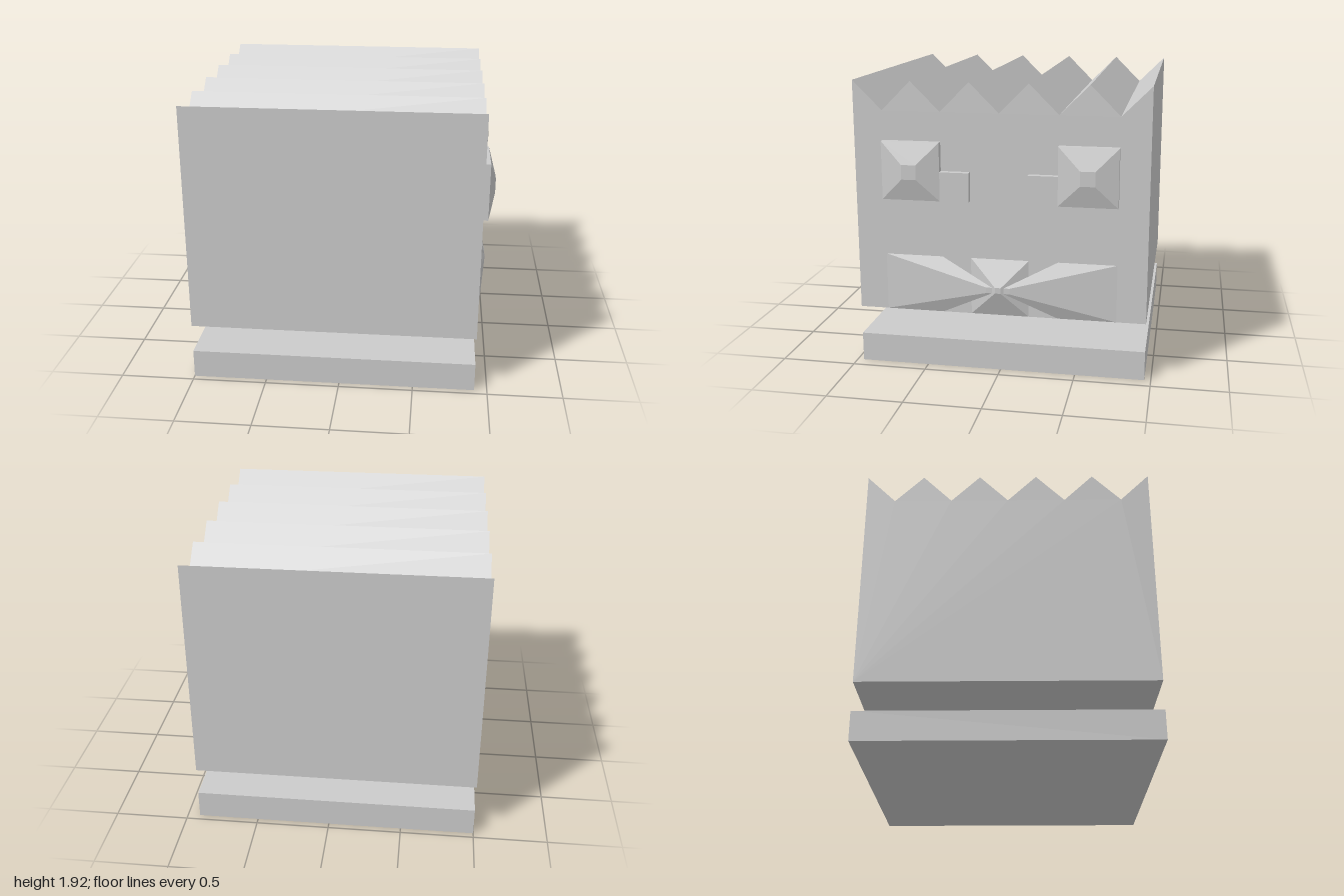
import * as THREE from 'three';

const U = 0.1915;        // modelling grid unit
const FACE = 0.915;      // x of the wall that carries the face
const material = new THREE.MeshStandardMaterial({ color: 0xcccccc, flatShading: true, side: THREE.DoubleSide });

function mesh(name, geometry) {
  const m = new THREE.Mesh(geometry, material);
  m.name = name;
  return m;
}

// Extrude an outline of [z, y] grid points along x, from x0 to x1
function slab(name, points, x0, x1) {
  const shape = new THREE.Shape(points.map(([z, y]) => new THREE.Vector2(-z * U, y * U)));
  const g = new THREE.ExtrudeGeometry(shape, { depth: x1 - x0, bevelEnabled: false });
  g.rotateY(Math.PI / 2).translate(x0, 0, 0);
  return mesh(name, g);
}

// Box growing out along +x whose outer end shrinks towards the pivot (z, y)
function spike(name, [z0, z1], [y0, y1], x0, x1, pivotZ, pivotY, scale) {
  const g = new THREE.BoxGeometry(x1 - x0, (y1 - y0) * U, (z1 - z0) * U).toNonIndexed();
  g.translate((x0 + x1) / 2, (y0 + y1) / 2 * U, (z0 + z1) / 2 * U);
  const p = g.attributes.position;
  for (let i = 0; i < p.count; i++) {
    if (p.getX(i) < (x0 + x1) / 2) continue;
    p.setY(i, pivotY * U + (p.getY(i) - pivotY * U) * scale);
    p.setZ(i, pivotZ * U + (p.getZ(i) - pivotZ * U) * scale);
  }
  g.computeVertexNormals();
  return mesh(name, g);
}

export function createModel() {
  const model = new THREE.Group();
  model.name = 'blockHead';

  // Flat base floating below the head
  model.add(slab('base', [[-5, 0], [5, 0], [5, 1.02], [-5, 1.02]], -1, FACE));

  // Head with a sawtooth top: peaks at odd z, valleys at even z
  const outline = [[5, 2.03], [-5, 2.03]];
  for (let z = -5; z <= 5; z++) outline.push([z, z % 2 === 0 ? 9.03 : 10.03]);
  model.add(slab('head', outline, -1, FACE));

  // Mirrored eyes: L-shaped plate with a blunt pyramid
  for (const s of [-1, 1]) {
    const eye = new THREE.Group();
    eye.name = s > 0 ? 'frontEye' : 'backEye';
    const plate = [[1, 6.03], [4, 6.03], [4, 8.03], [2, 8.03], [2, 7.03], [1, 7.03]].map(([z, y]) => [z * s, y]);
    eye.add(slab('eyePlate', plate, FACE, 0.957));
    const span = s > 0 ? [2, 4] : [-4, -2];
    eye.add(spike('eyePyramid', span, [6.03, 8.03], 0.957, 1, 3 * s, 7.03, 0.25));
    model.add(eye);
  }

  // Mouth: three spikes drawn together to one centre
  const mouth = new THREE.Group();
  mouth.name = 'mouth';
  for (const z of [-3, 0, 3])
    mouth.add(spike('mouthSpike', [z - 1, z + 1], [2.03, 4.03], FACE, 0.986, 0, 3.03, 0.1));
  model.add(mouth);

  return model;
}
